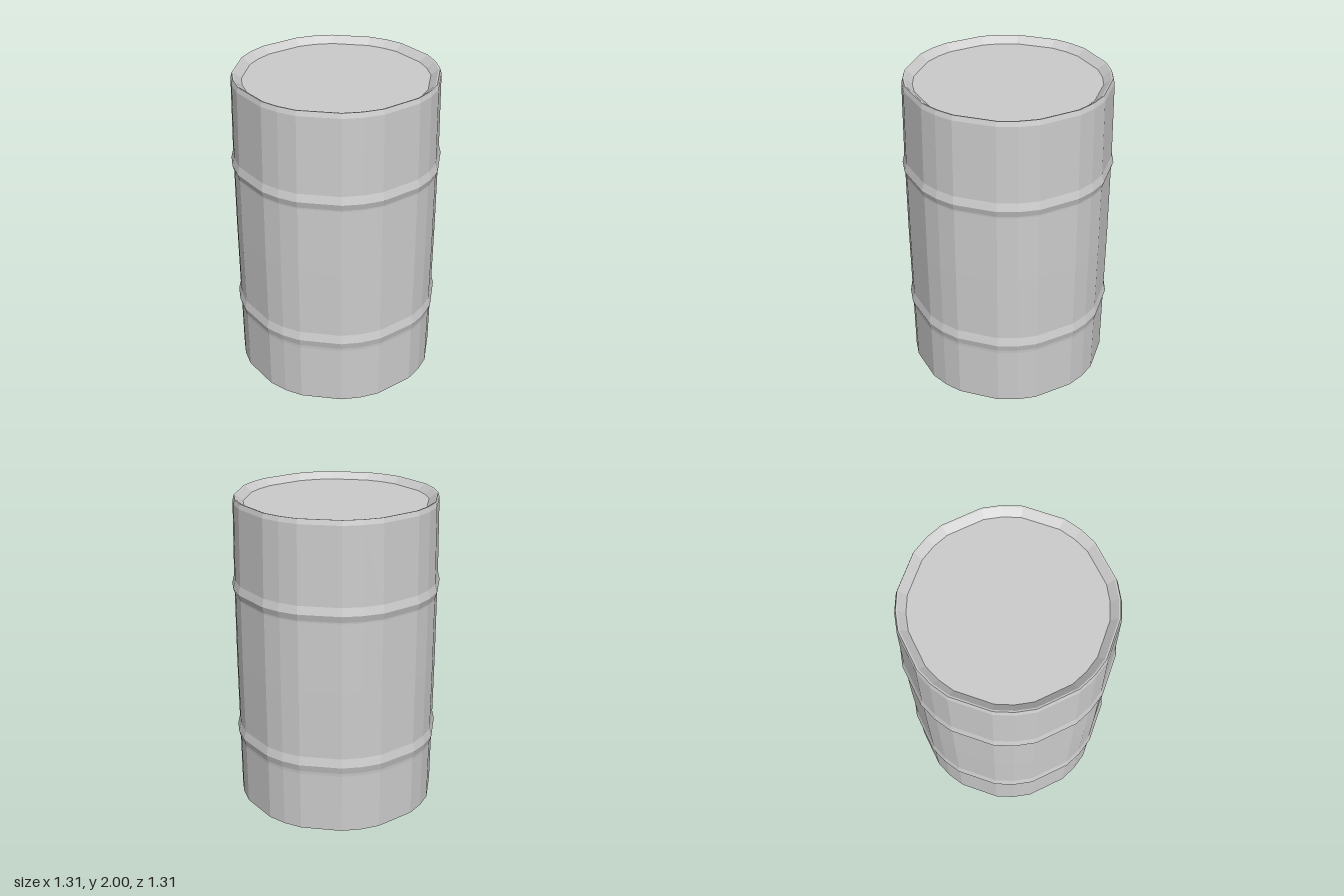
import * as THREE from 'three';

// Corner angles within one quarter turn (24 uneven sides in all)
const QUARTER = [0, 10.6, 34, 45, 56, 79.4];

// Lathe a [radius, height] profile, then shift its even sides to the uneven corners
function turned(profile, material, name) {
  const points = profile.map(([r, y]) => new THREE.Vector2(r, y));
  const geometry = new THREE.LatheGeometry(points, 24);
  const pos = geometry.attributes.position;
  for (let i = 0; i < pos.count; i++) {
    const side = Math.floor(i / points.length) % 24;
    const angle = THREE.MathUtils.degToRad(QUARTER[side % 6] + 90 * Math.floor(side / 6));
    const { x: r, y } = points[i % points.length];
    pos.setXYZ(i, r * Math.sin(angle), y, r * Math.cos(angle));
  }
  geometry.computeVertexNormals();
  const mesh = new THREE.Mesh(geometry, material);
  mesh.name = name;
  return mesh;
}

export function createModel() {
  const steel = new THREE.MeshStandardMaterial({ color: 0xcccccc });
  steel.name = 'grey steel';
  steel.flatShading = true;
  steel.side = THREE.DoubleSide;

  const barrel = new THREE.Group();
  barrel.name = 'barrel';

  // Thin wall, open at the bottom, in three bands
  barrel.add(turned([[0.64, 0], [0.642, 0.39]], steel, 'lowerWall'));
  barrel.add(turned([[0.643, 0.51], [0.645, 0.95], [0.643, 1.39]], steel, 'middleWall'));
  barrel.add(turned([[0.643, 1.49], [0.634, 1.97], [0.625, 2]], steel, 'upperWall'));

  // Two raised hoops
  barrel.add(turned([[0.642, 0.39], [0.644, 0.41], [0.656, 0.455], [0.643, 0.51]], steel, 'lowerHoop'));
  barrel.add(turned([[0.643, 1.39], [0.644, 1.4], [0.656, 1.44], [0.643, 1.49]], steel, 'upperHoop'));

  // Rim sloping down to the sunken lid
  barrel.add(turned([[0.625, 2], [0.615, 1.998], [0.57, 1.96]], steel, 'rim'));
  barrel.add(turned([[0.57, 1.96], [0, 1.96]], steel, 'lid'));
  return barrel;
}
